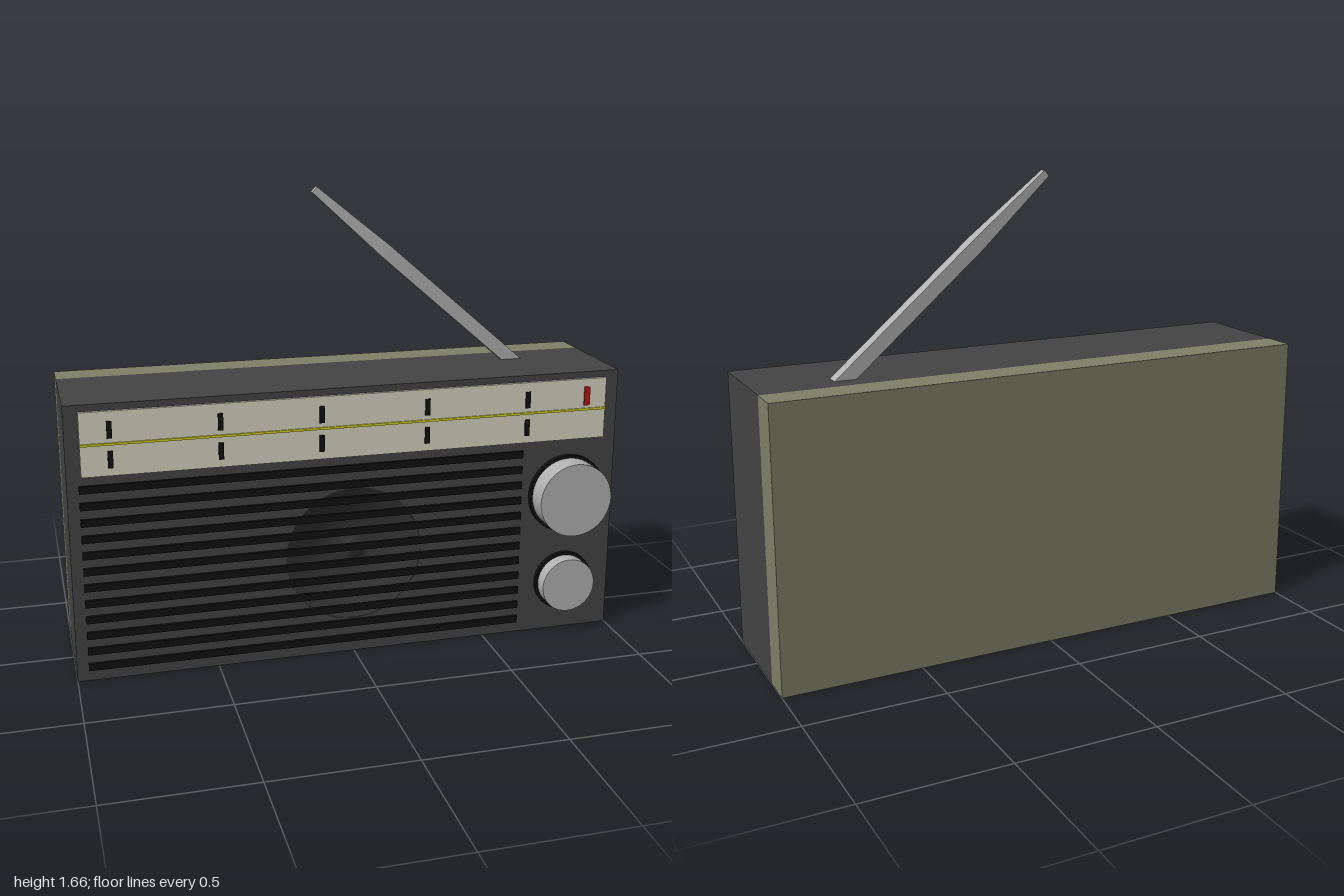
import * as THREE from 'three';

const paint = (color, extra = {}) => new THREE.MeshStandardMaterial({ color, ...extra });

export function createModel() {
  const radio = new THREE.Group();
  radio.name = 'portableRadio';
  const mat = {
    body: paint(0x444444), back: paint(0x7f8168), black: paint(0x111111),
    cream: paint(0xd8d3c2), yellow: paint(0xd6d21c), red: paint(0xb01818),
    metal: paint(0xb2b2b2), rod: paint(0xb2b2b2, { flatShading: true }),
    cone: paint(0x383838, { side: THREE.DoubleSide }),
  };
  const add = (name, geometry, material, x = 0, y = 0, z = 0, parent = radio) => {
    const mesh = new THREE.Mesh(geometry, material);
    mesh.name = name;
    mesh.position.set(x, y, z);
    parent.add(mesh);
    return mesh;
  };
  const box = (name, w, h, d, material, x, y, z, parent) =>
    add(name, new THREE.BoxGeometry(w, h, d), material, x, y, z, parent);
  const group = (name) => {
    const g = new THREE.Group();
    g.name = name;
    radio.add(g);
    return g;
  };

  const FRONT = 0.2, BACK = -0.29, SEAM = -0.175;
  const speakerY = 0.38, speakerR = 0.25;

  // Case with a round speaker opening in its front
  const outline = new THREE.Shape();
  outline.moveTo(-1, 0).lineTo(1, 0).lineTo(1, 1).lineTo(-1, 1).closePath();
  outline.holes.push(new THREE.Path().absarc(0, speakerY, speakerR, 0, Math.PI * 2, true));
  add('caseBody', new THREE.ExtrudeGeometry(outline, {
    depth: FRONT - SEAM, bevelEnabled: false, curveSegments: 48,
  }), mat.body, 0, 0, SEAM);
  box('backCover', 2, 1, SEAM - BACK, mat.back, 0, 0.5, (SEAM + BACK) / 2);

  // Shallow speaker cone with a domed centre cap
  const profile = [[0, -0.035], [0.04, -0.042], [0.08, -0.065], [0.16, -0.035], [speakerR, -0.003]]
    .map(([r, h]) => new THREE.Vector2(r, h));
  add('speakerCone', new THREE.LatheGeometry(profile, 48), mat.cone, 0, speakerY, FRONT)
    .rotation.x = Math.PI / 2;

  // Grille of raised horizontal slats
  const grille = group('grille');
  for (let i = 0; i < 12; i++) {
    box('grilleSlat', 1.595, 0.026, 0.012, mat.black, -0.162, 0.054 + i * 0.0592, FRONT + 0.005, grille);
  }

  // Tuning dial: panel, centre line and plain scale marks
  const dial = group('tuningDial');
  box('dialPanel', 1.9, 0.226, 0.012, mat.cream, 0, 0.863, FRONT + 0.005, dial);
  box('dialLine', 1.9, 0.008, 0.006, mat.yellow, 0, 0.862, FRONT + 0.013, dial);
  for (const y of [0.808, 0.912]) {
    for (const x of [-0.85, -0.475, -0.12, 0.265, 0.645]) {
      box('scaleMark', 0.018, 0.06, 0.006, mat.black, x, y, FRONT + 0.013, dial);
    }
  }
  box('redScaleMark', 0.022, 0.07, 0.006, mat.red, 0.875, 0.912, FRONT + 0.013, dial);

  // Round knobs, each on a black collar
  const disc = (name, r, depth, material, x, y, parent) =>
    add(name, new THREE.CylinderGeometry(r, r, depth, 48), material, x, y, FRONT + depth / 2, parent)
      .rotation.x = Math.PI / 2;
  const knob = (name, x, y, r, depth) => {
    const g = group(name);
    disc('knobCollar', r + 0.011, 0.015, mat.black, x, y, g);
    disc('knobCap', r, depth, mat.metal, x, y, g);
  };
  knob('tuningKnob', 0.815, 0.541, 0.138, 0.095);
  knob('volumeKnob', 0.815, 0.195, 0.102, 0.065);

  // Square aerial leaning to the right: straight lower part, tapered upper part
  const aerial = group('aerial');
  aerial.position.set(0.683, 1, -0.082);
  aerial.rotation.z = Math.atan2(0.757, 0.653);
  const section = (name, w0, w1, from, to) => {
    const g = new THREE.CylinderGeometry(w1 / Math.SQRT2, w0 / Math.SQRT2, to - from, 4);
    g.rotateY(Math.PI / 4);
    add(name, g, mat.rod, 0, (from + to) / 2, 0, aerial);
  };
  section('aerialLower', 0.05, 0.05, -0.04, 0.65);
  section('aerialUpper', 0.05, 0.026, 0.65, 1.0);

  return radio;
}
